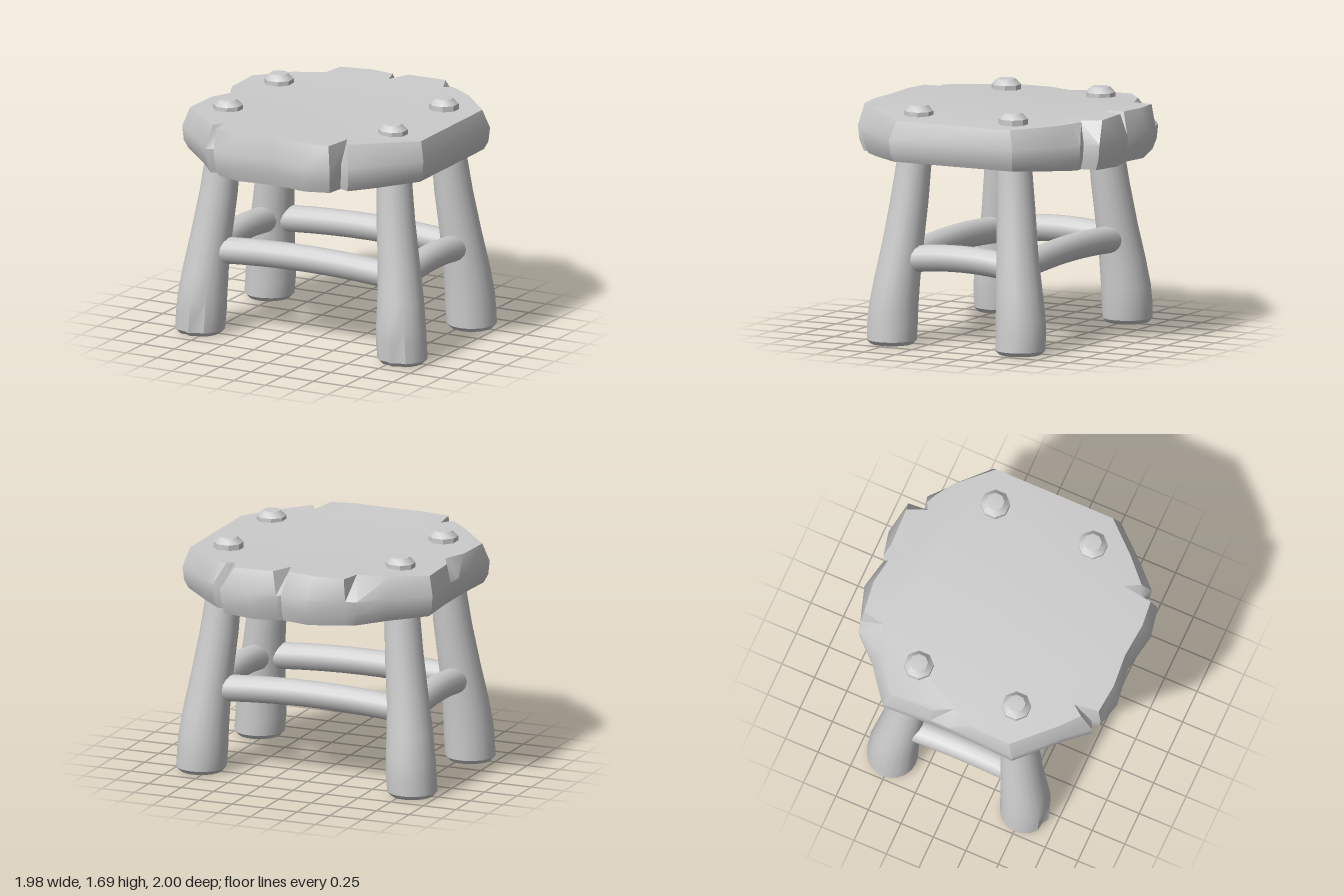
import * as THREE from 'three';
import { toCreasedNormals } from 'three/addons/utils/BufferGeometryUtils.js';

const material = new THREE.MeshStandardMaterial({ color: 0xcccccc });

function addMesh(group, name, geometry) {
  const mesh = new THREE.Mesh(geometry, material);
  mesh.name = name;
  group.add(mesh);
  return mesh;
}

// Skins a stack of rings (bottom to top, each running from +x towards +z) and caps both ends.
function loft(rings, crease) {
  const n = rings[0].length, index = [];
  for (let r = 0; r < rings.length - 1; r++) {
    for (let i = 0; i < n; i++) {
      const a = r * n + i, b = r * n + (i + 1) % n;
      index.push(a, a + n, b, b, a + n, b + n);
    }
  }
  [0, rings.length - 1].forEach((r) => {
    const flat = rings[r].map((p) => new THREE.Vector2(p.x, p.z));
    for (const [a, b, c] of THREE.ShapeUtils.triangulateShape(flat, [])) {
      const turn = flat[b].clone().sub(flat[a]).cross(flat[c].clone().sub(flat[a]));
      const keep = (turn > 0) === (r === 0);
      index.push(r * n + a, r * n + (keep ? b : c), r * n + (keep ? c : b));
    }
  });
  const geometry = new THREE.BufferGeometry().setFromPoints(rings.flat());
  geometry.setIndex(index);
  return toCreasedNormals(geometry, crease);
}

// Seat slab: widest outline x, z, then the chipped top edge x, z.
const OUTLINE = [
  [-0.47, -0.91, -0.45, -0.89], [-0.22, -0.99, -0.22, -0.92], [-0.03, -0.95, -0.03, -0.89],
  [0.01, -0.94, 0.01, -0.76], [0.04, -0.96, 0.08, -0.92], [0.22, -1.0, 0.37, -0.93],
  [0.47, -0.96, 0.43, -0.79], [0.48, -0.84, 0.48, -0.82], [0.57, -0.86, 0.55, -0.79],
  [0.72, -0.73, 0.68, -0.71], [0.95, -0.52, 0.91, -0.48], [0.95, 0.46, 0.91, 0.42],
  [0.73, 0.71, 0.7, 0.65], [0.57, 0.87, 0.53, 0.81], [0.49, 0.83, 0.47, 0.7],
  [0.47, 0.96, 0.44, 0.92], [0.28, 1.0, 0.25, 0.94], [0.0, 0.95, 0.0, 0.92],
  [-0.28, 0.99, -0.25, 0.94], [-0.47, 0.94, -0.46, 0.92], [-0.49, 0.88, -0.48, 0.74],
  [-0.55, 0.91, -0.54, 0.82], [-0.68, 0.76, -0.67, 0.71], [-0.97, 0.48, -0.93, 0.44],
  [-0.95, 0.14, -0.92, 0.14], [-0.95, -0.02, -0.85, -0.02], [-0.95, -0.16, -0.92, -0.16],
  [-0.97, -0.52, -0.93, -0.48], [-0.71, -0.72, -0.7, -0.65], [-0.55, -0.89, -0.48, -0.73],
];

function seatGeometry() {
  const dip = (x) => 0.035 * x * x;
  const rings = [
    OUTLINE.map(([x, z]) => new THREE.Vector3(x * 0.96, 1.28 + dip(x), z * 0.96)),
    OUTLINE.map(([x, z]) => new THREE.Vector3(x * 0.99, 1.37, z * 0.99)),
    OUTLINE.map(([x, z]) => new THREE.Vector3(x, 1.47, z)),
    OUTLINE.map(([x, z, tx, tz]) => new THREE.Vector3(tx, 1.635 - dip(x), tz)),
  ];
  return loft(rings, 0.6);
}

// Leg stations: height, radius, centre x, centre z.
const LEG = [
  [0, 0.15, 0.81, 0.51], [0.03, 0.178, 0.81, 0.51], [0.15, 0.18, 0.8, 0.51],
  [0.26, 0.177, 0.795, 0.505], [0.45, 0.165, 0.78, 0.485], [0.7, 0.149, 0.75, 0.455],
  [1.0, 0.137, 0.71, 0.425], [1.28, 0.125, 0.685, 0.4], [1.5, 0.12, 0.67, 0.385],
];

function legGeometry(sx, sz) {
  const sides = 20;
  const rings = LEG.map(([y, radius, cx, cz]) => Array.from({ length: sides }, (_, i) => {
    // Two toe creases cut into the front of the front feet
    const crease = sz > 0 && y < 0.2 && (i === 4 || i === 6);
    const r = radius - (crease ? 0.02 : 0);
    const a = (i / sides) * Math.PI * 2;
    return new THREE.Vector3(sx * cx + r * Math.cos(a), y, sz * cz + r * Math.sin(a));
  }));
  return loft(rings, 0.6);
}

// Eight-sided rounded peg head showing above the seat.
function pegGeometry() {
  const profile = [[0.105, 1.58], [0.105, 1.645], [0.065, 1.685], [0, 1.69]]
    .map(([r, y]) => new THREE.Vector2(r, y));
  return toCreasedNormals(new THREE.LatheGeometry(profile, 8, Math.PI / 8), 0.6);
}

// Slightly arched rail between two legs.
function railGeometry(start, end, rise) {
  const middle = start.clone().lerp(end, 0.5);
  middle.y += rise * 2;
  const path = new THREE.QuadraticBezierCurve3(start, middle, end);
  return new THREE.TubeGeometry(path, 10, 0.095, 14);
}

export function createModel() {
  const group = new THREE.Group();
  group.name = 'stool';
  addMesh(group, 'seat', seatGeometry());

  for (const sx of [-1, 1]) {
    for (const sz of [-1, 1]) {
      const label = (sz > 0 ? 'front' : 'back') + (sx > 0 ? 'Left' : 'Right');
      addMesh(group, label + 'Leg', legGeometry(sx, sz));
      addMesh(group, label + 'Peg', pegGeometry()).position.set(sx * 0.66, 0, sz * 0.375);
    }
  }

  // Long rails run across, short rails run front to back
  for (const s of [-1, 1]) {
    addMesh(group, s > 0 ? 'frontRail' : 'backRail', railGeometry(
      new THREE.Vector3(-0.72, 0.595, s * 0.46), new THREE.Vector3(0.72, 0.595, s * 0.46), 0.035));
    addMesh(group, s > 0 ? 'leftRail' : 'rightRail', railGeometry(
      new THREE.Vector3(s * 0.76, 0.595, -0.42), new THREE.Vector3(s * 0.76, 0.595, 0.42), 0.035));
  }
  return group;
}
